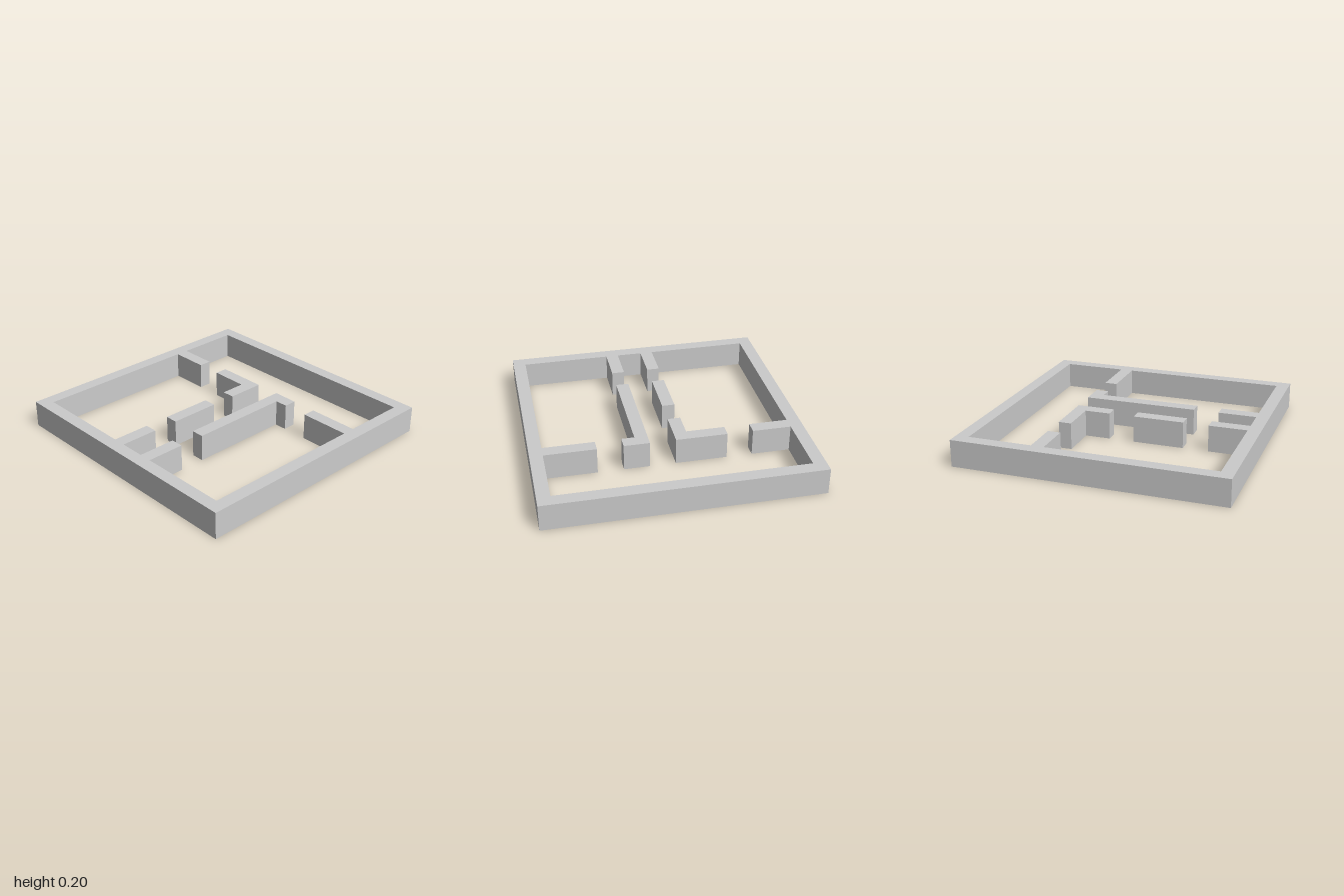
import * as THREE from 'three';

const UNIT = 1 / 21; // half a wall thickness
const HEIGHT = 0.2;

// Plan points are [x, z] in wall units; shapes are drawn in x, -z and laid flat.
const toPoints = (plan) => plan.map(([x, z]) => new THREE.Vector2(x * UNIT, -z * UNIT));

export function createModel() {
  const model = new THREE.Group();
  model.name = 'floorPlanWalls';
  const material = new THREE.MeshStandardMaterial({ color: 0xcccccc, flatShading: true });

  function addWall(name, outline, opening) {
    const shape = new THREE.Shape(toPoints(outline));
    // The opening runs against the outline so its walls face the rooms
    if (opening) shape.holes.push(new THREE.Path(toPoints(opening).reverse()));
    const geometry = new THREE.ExtrudeGeometry(shape, { depth: HEIGHT, bevelEnabled: false });
    geometry.rotateX(-Math.PI / 2);
    const mesh = new THREE.Mesh(geometry, material);
    mesh.name = name;
    model.add(mesh);
  }

  // Outer walls with the four stub walls that grow inward from them
  addWall('outerWalls',
    [[-21, -21], [21, -21], [21, 21], [-21, 21]],
    [[-19, -19], [19, -19],
      [19, -9], [11, -9], [11, -7], [19, -7], // left stub
      [19, 19],
      [5, 19], [5, 13], [3, 13], [3, 19], // front stubs
      [-1, 19], [-1, 13], [-3, 13], [-3, 19],
      [-19, 19],
      [-19, -7], [-13, -7], [-13, -9], [-19, -9]]); // right stub

  // Corridor walls standing free between the doorways
  addWall('rightCornerWall', [[-9, -9], [-1, -9], [-1, -3], [-3, -3], [-3, -7], [-9, -7]]);
  addWall('rightCorridorWall', [[-3, 1], [-1, 1], [-1, 9], [-3, 9]]);
  addWall('leftCorridorWall', [[3, -9], [7, -9], [7, -7], [5, -7], [5, 9], [3, 9]]);

  return model;
}
